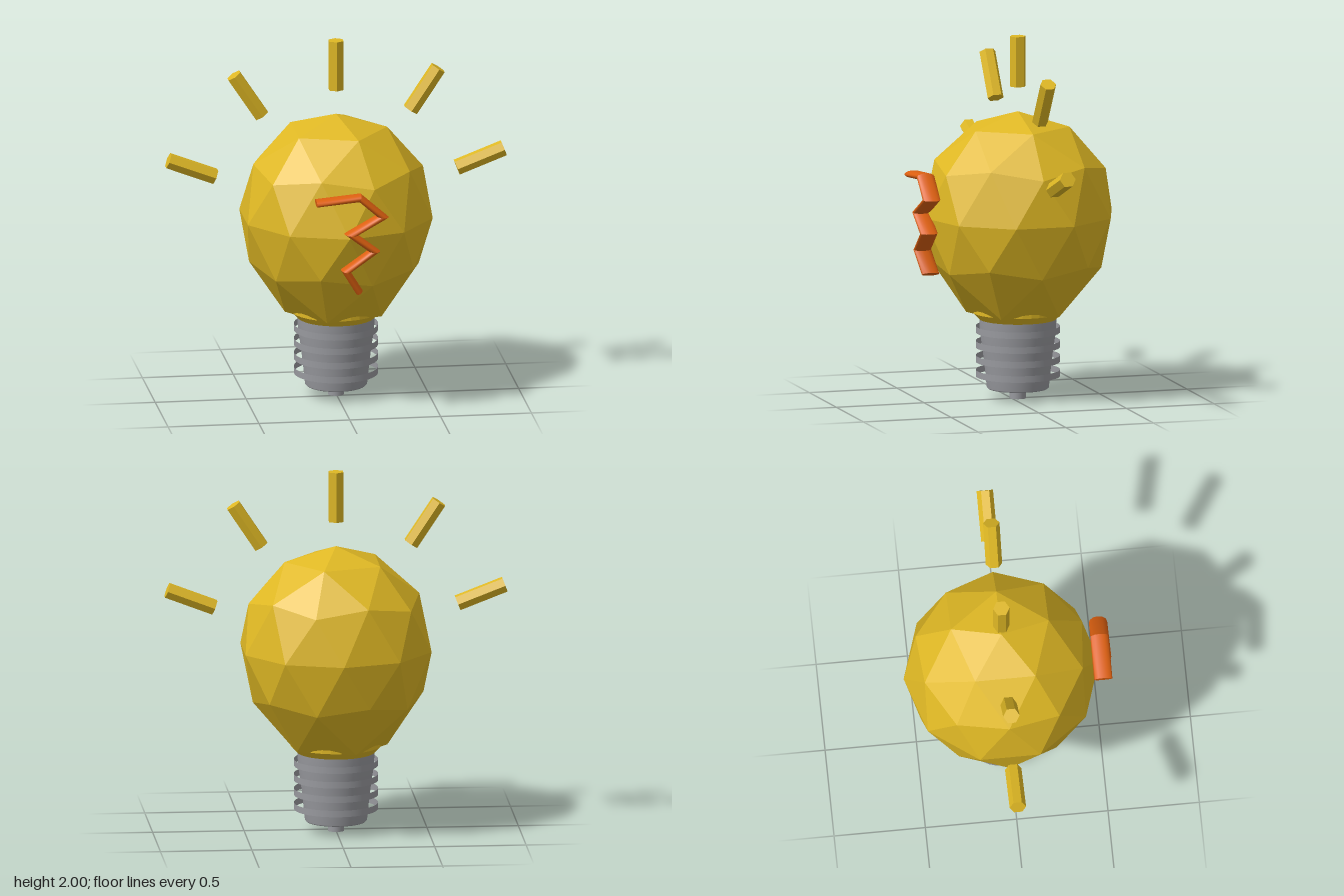
import * as THREE from 'three';
import { mergeVertices } from 'three/addons/utils/BufferGeometryUtils.js';

const CENTRE_Z = -0.035;

// Faceted glass: pole-up icosphere with its lowest ring pulled down to the neck
function bulbGeometry() {
  const verts = [0, 1, 0];
  const h = 1 / Math.sqrt(5), r = 2 * h;
  for (const [y, offset] of [[h, 0], [-h, Math.PI / 5]]) {
    for (let i = 0; i < 5; i++) {
      const a = offset + i * Math.PI * 0.4;
      verts.push(r * Math.cos(a), y, r * Math.sin(a));
    }
  }
  verts.push(0, -1, 0);
  const faces = [];
  for (let i = 0; i < 5; i++) {
    const j = (i + 1) % 5;
    const u0 = 1 + i, u1 = 1 + j, l0 = 6 + i, l1 = 6 + j;
    faces.push(0, u1, u0, u0, u1, l0, l0, u1, l1, l0, l1, 11);
  }
  const geo = new THREE.PolyhedronGeometry(verts, faces, 1, 1);
  geo.scale(0.535, 0.565, 0.535);
  geo.translate(0, 1.02, 0);
  const pos = geo.attributes.position;
  for (let i = 0; i < pos.count; i++) {
    const y = pos.getY(i);
    if (y > 0.5 && y < 0.6) pos.setY(i, 0.475);
  }
  geo.computeVertexNormals();
  return geo;
}

// Zigzag with an oval section, mitred at each bend
function zigzagGeometry(points, halfWidth, halfDepth, sides = 12) {
  const path = points.map((p) => new THREE.Vector3(...p));
  const last = path.length - 1;
  const sideOf = (i) => {
    const d = path[i + 1].clone().sub(path[i]);
    return new THREE.Vector3(-d.y, d.x, 0).normalize();
  };
  const rings = path.map((p, i) => {
    const before = sideOf(Math.max(i - 1, 0)), after = sideOf(Math.min(i, last - 1));
    const mitre = before.clone().add(after).normalize();
    mitre.multiplyScalar(halfWidth / mitre.dot(after));
    return Array.from({ length: sides }, (_, k) => {
      const a = (k / sides) * Math.PI * 2;
      const v = p.clone().addScaledVector(mitre, Math.cos(a));
      v.z += halfDepth * Math.sin(a);
      return v;
    });
  });
  const out = [], idx = [];
  const add = (v) => out.push(v.x, v.y, v.z) / 3 - 1;
  // Each straight run has its own vertices so the bends stay sharp
  for (let i = 0; i < last; i++) {
    const a = rings[i].map(add), b = rings[i + 1].map(add);
    for (let k = 0; k < sides; k++) {
      const n = (k + 1) % sides;
      idx.push(a[k], a[n], b[k], a[n], b[n], b[k]);
    }
  }
  const start = rings[0].map(add), end = rings[last].map(add);
  for (let k = 1; k < sides - 1; k++) {
    idx.push(start[0], start[k + 1], start[k], end[0], end[k], end[k + 1]);
  }
  const geo = new THREE.BufferGeometry();
  geo.setAttribute('position', new THREE.Float32BufferAttribute(out, 3));
  geo.setIndex(idx);
  geo.computeVertexNormals();
  return geo;
}

export function createModel() {
  const yellow = new THREE.MeshStandardMaterial({ name: 'yellow', color: 0xdfb824, flatShading: true });
  const orange = new THREE.MeshStandardMaterial({ name: 'orange', color: 0xdd6010 });
  const grey = new THREE.MeshStandardMaterial({ name: 'grey', color: 0x98999e, side: THREE.DoubleSide });

  const model = new THREE.Group();
  model.name = 'lightBulb';
  const lamp = new THREE.Group();
  lamp.name = 'lamp';
  lamp.position.z = CENTRE_Z;
  model.add(lamp);

  const add = (parent, name, geo, mat, x = 0, y = 0, z = 0) => {
    const mesh = new THREE.Mesh(geo, mat);
    mesh.name = name;
    mesh.position.set(x, y, z);
    parent.add(mesh);
    return mesh;
  };
  const lathe = (pts, n = 32) =>
    new THREE.LatheGeometry(pts.map(([r, y]) => new THREE.Vector2(r, y)), n);

  // Glass and the collar that meets the socket
  add(lamp, 'glass', bulbGeometry(), yellow);
  add(lamp, 'collar', lathe([[0, 0.44], [0.212, 0.44], [0.25, 0.478], [0.25, 0.53]]), yellow);

  // Screw base, thin thread bands and contact tip
  const body = [[0.001, 0.055], [0.163, 0.055], [0.17, 0.062], [0.18, 0.16], [0.193, 0.27], [0.207, 0.36], [0.212, 0.45]];
  add(lamp, 'screwBase', lathe(body), grey);
  for (const y of [0.14, 0.22, 0.30, 0.382]) {
    add(lamp, 'threadBand', new THREE.CylinderGeometry(0.23, 0.23, 0.036, 32, 1, true), grey, 0, y);
  }
  add(lamp, 'contactTip', new THREE.CylinderGeometry(0.045, 0.045, 0.08, 20), grey, 0, 0.04);

  // Hexagonal light rays fanned over the top
  const rayGeo = new THREE.CylinderGeometry(0.045, 0.045, 0.277, 6);
  add(lamp, 'rayTop', rayGeo, yellow, 0, 1.8615);
  for (const s of [-1, 1]) {
    const side = s > 0 ? 'Left' : 'Right';
    for (const [name, x, y, deg] of [['rayUpper', 0.486, 1.708, 33.5], ['rayLower', 0.794, 1.306, 69]]) {
      const ray = add(lamp, name + side, rayGeo, yellow, s * x, y);
      ray.rotation.z = -s * THREE.MathUtils.degToRad(deg);
    }
  }

  // Zigzag filament mark on the front of the glass
  const zigzag = [
    [-0.185, 1.235, 0.505], [0.055, 1.258, 0.508], [0.178, 1.15, 0.512], [0.005, 1.055, 0.518],
    [0.132, 0.957, 0.513], [-0.022, 0.845, 0.503], [0.055, 0.718, 0.48],
  ];
  add(model, 'zigzag', mergeVertices(zigzagGeometry(zigzag, 0.02, 0.05)), orange);

  return model;
}
